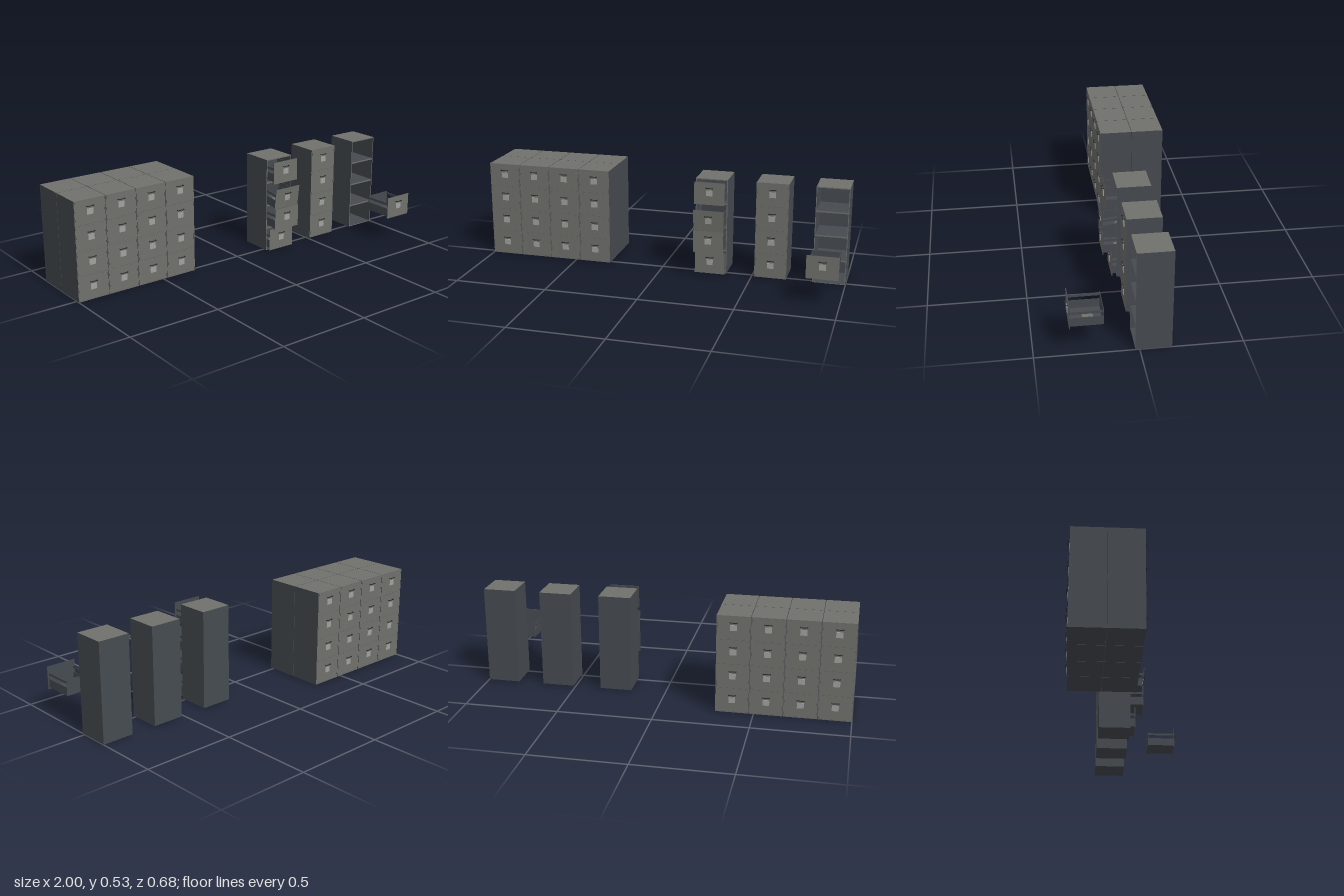
import * as THREE from 'three';

const mat = (name, color) => Object.assign(new THREE.MeshStandardMaterial({ color }), { name });
const paint = mat('warm grey paint', 0x70716c);
const steel = mat('dark blue steel', 0x464b50);
const trim = mat('dark trim', 0x2b2d2f);
const card = mat('pale label', 0xa0a29e);

const W = 0.173, H = 0.525, D = 0.175, T = 0.004; // cabinet size and sheet thickness
const PITCH = 0.1313;                             // drawer spacing

// Box placed by its centre; a string of faces such as 'yz' marks +y and +z as painted
function box(parent, name, w, h, d, x, y, z, material) {
  const m = typeof material === 'string'
    ? [steel, steel, material.includes('y') ? paint : steel, steel, material.includes('z') ? paint : steel, steel]
    : material;
  const mesh = new THREE.Mesh(new THREE.BoxGeometry(w, h, d), m);
  mesh.name = name;
  mesh.position.set(x, y, z);
  parent.add(mesh);
  return mesh;
}

// Drawer with its origin at the bottom centre of the front face
function makeDrawer() {
  const g = new THREE.Group();
  g.name = 'drawer';
  const bw = 0.148, len = 0.159, mid = -T - len / 2;
  box(g, 'drawerFront', 0.164, 0.122, T, 0, 0.061, -T / 2, 'z');
  box(g, 'drawerBottom', bw, 0.003, len, 0, 0.0115, mid, steel);
  box(g, 'drawerBack', bw, 0.085, 0.003, 0, 0.0525, -T - len + 0.0015, steel);
  for (const s of [-1, 1]) {
    box(g, 'drawerSide', 0.003, 0.046, len, s * (bw / 2 - 0.0015), 0.033, mid, steel);
    box(g, 'drawerRail', 0.003, 0.013, len, s * (bw / 2 - 0.0015), 0.0815, mid, steel);
    box(g, 'handleArm', 0.003, 0.004, 0.01, s * 0.0185, 0.092, 0.005, trim);
  }
  box(g, 'handleBar', 0.04, 0.004, 0.003, 0, 0.092, 0.0085, trim);
  box(g, 'labelPlate', 0.035, 0.03, 0.003, 0, 0.064, 0.0015, card);
  // pale disc on the drawer floor
  const disc = new THREE.Mesh(new THREE.CircleGeometry(0.024, 24), paint);
  disc.name = 'floorDisc';
  disc.rotation.x = -Math.PI / 2;
  disc.scale.y = 1.15;
  disc.position.set(0, 0.0138, -0.094);
  g.add(disc);
  return g;
}

// Cabinet with its front face at z = 0; each pose is null (empty) or { y, z, tilt }, bottom drawer first
function makeCabinet(name, poses) {
  const g = new THREE.Group();
  g.name = name;
  for (const s of [-1, 1]) box(g, 'sidePanel', T, H, D, s * (W - T) / 2, H / 2, -D / 2, 'z');
  box(g, 'backPanel', W - 2 * T, H, T, 0, H / 2, -D + T / 2, steel);
  // thin painted lid over the whole top
  box(g, 'topSkin', W, 0.001, D, 0, H + 0.0005, -D / 2, 'yz');
  for (let i = 0; i <= 4; i++) {
    const low = i === 0 ? 0 : i * PITCH - 0.0045;
    const high = i === 4 ? H : i * PITCH + 0.0035;
    box(g, 'shelf', W - 2 * T, high - low, D - T, 0, (low + high) / 2, -(D - T) / 2, 'z');
  }
  poses.forEach((p, i) => {
    if (!p) return;
    const d = makeDrawer();
    d.position.set(0, i * PITCH + 0.0045 + (p.y || 0), p.z || 0);
    d.rotation.x = p.tilt || 0;
    g.add(d);
  });
  return g;
}

export function createModel() {
  const model = new THREE.Group();
  model.name = 'filingCabinets';
  const shut = [{}, {}, {}, {}];
  const place = (name, poses, x, z, turn = 0) => {
    const c = makeCabinet(name, poses);
    c.position.set(x, 0, z);
    c.rotation.y = turn;
    model.add(c);
  };

  // back-to-back block of eight closed cabinets
  for (let i = 0; i < 4; i++) {
    const x = -1 + W / 2 + i * 0.1755;
    place('blockFrontCabinet', shut, x, 0.02);
    place('blockBackCabinet', shut, x, -0.332, Math.PI);
  }

  // three single cabinets: opened, closed and emptied
  place('openCabinet', [
    { z: 0.027 },
    { z: 0.073 },
    { y: -0.016, z: 0.066, tilt: 0.125 },
    { z: 0.058, y: 0.001 },
  ], 0.274, 0.02);
  place('closedCabinet', shut, 0.6, 0.02);
  place('emptyCabinet', [null, null, null, null], 0.9125, 0.02);

  // drawer pulled fully out of the empty cabinet
  const loose = makeDrawer();
  loose.name = 'looseDrawer';
  loose.position.set(0.908, 0.137, 0.33);
  model.add(loose);
  return model;
}
